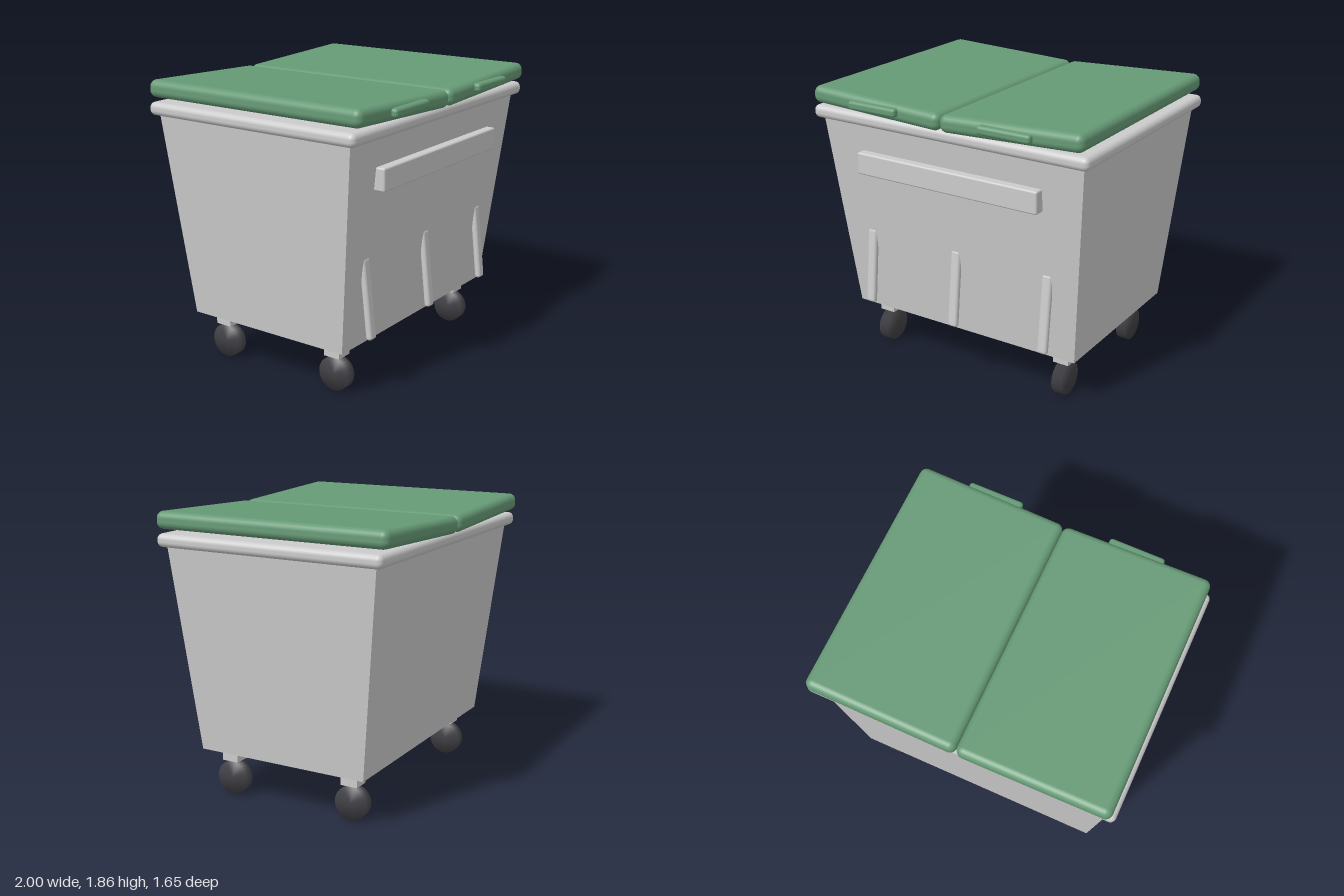
import * as THREE from 'three';
import { RoundedBoxGeometry } from 'three/addons/geometries/RoundedBoxGeometry.js';
import { mergeVertices } from 'three/addons/utils/BufferGeometryUtils.js';

const grey = new THREE.MeshStandardMaterial({ color: 0xcccccc });
const green = new THREE.MeshStandardMaterial({ color: 0x669a76 });
const rubber = new THREE.MeshStandardMaterial({ color: 0x424247 });

const MID_Z = -0.0175; // the tub sits slightly behind the origin

function add(parent, name, geometry, material, x, y, z) {
  const mesh = new THREE.Mesh(geometry, material);
  mesh.name = name;
  mesh.position.set(x, y, z);
  parent.add(mesh);
  return mesh;
}

const rounded = (w, h, d, r) => new RoundedBoxGeometry(w, h, d, 4, r);

// Box whose top and bottom have different sizes
function taperedBox(bottomW, bottomD, topW, topD, height) {
  const geometry = new THREE.BoxGeometry(1, height, 1);
  const p = geometry.attributes.position;
  for (let i = 0; i < p.count; i++) {
    const top = p.getY(i) > 0;
    p.setX(i, p.getX(i) * (top ? topW : bottomW));
    p.setZ(i, p.getZ(i) * (top ? topD : bottomD));
  }
  geometry.computeVertexNormals();
  return geometry;
}

// Short cylinder with normals blended over its edges
function softWheel(radius, width) {
  const geometry = new THREE.CylinderGeometry(radius, radius, width, 32);
  geometry.deleteAttribute('normal');
  geometry.deleteAttribute('uv');
  const soft = mergeVertices(geometry);
  soft.computeVertexNormals();
  return soft.rotateZ(Math.PI / 2);
}

export function createModel() {
  const bin = new THREE.Group();
  bin.name = 'wheeledBin';

  // Tub and rim
  add(bin, 'tub', taperedBox(1.68, 1.18, 1.91, 1.465, 1.37), grey, 0, 1.005, MID_Z);
  add(bin, 'rim', rounded(2, 0.085, 1.565, 0.036), grey, 0, 1.6875, MID_Z);

  // Two lids sloping down to the middle, each with a front grip
  for (const [side, s] of [['left', 1], ['right', -1]]) {
    const lid = add(bin, side + 'Lid', rounded(0.975, 0.112, 1.612, 0.045), green,
      s * 0.488, 1.79, MID_Z);
    lid.rotation.z = s * 0.04;
    add(bin, side + 'LidGrip', rounded(0.365, 0.056, 0.08, 0.02), green,
      s * 0.477, 1.793, 0.785);
  }

  // Front lifting bar
  add(bin, 'frontBar', rounded(1.33, 0.145, 0.1, 0.012), grey, 0, 1.393, 0.7);

  // Front ribs leaning into the wall
  for (const x of [-0.67, 0, 0.67]) {
    const rib = add(bin, 'frontRib', rounded(0.07, 0.518, 0.042, 0.019), grey, x, 0.642, 0.642);
    rib.rotation.x = -0.11;
  }

  // Casters
  const bracket = new THREE.BoxGeometry(0.112, 0.1, 0.115);
  const wheel = softWheel(0.11, 0.07);
  for (const x of [-0.693, 0.693]) {
    for (const z of [0.426, -0.458]) {
      const caster = new THREE.Group();
      caster.name = 'caster';
      caster.position.set(x, 0, z);
      add(caster, 'casterBracket', bracket, grey, 0, 0.28, 0);
      add(caster, 'casterWheel', wheel, rubber, 0, 0.11, 0);
      bin.add(caster);
    }
  }

  return bin;
}
